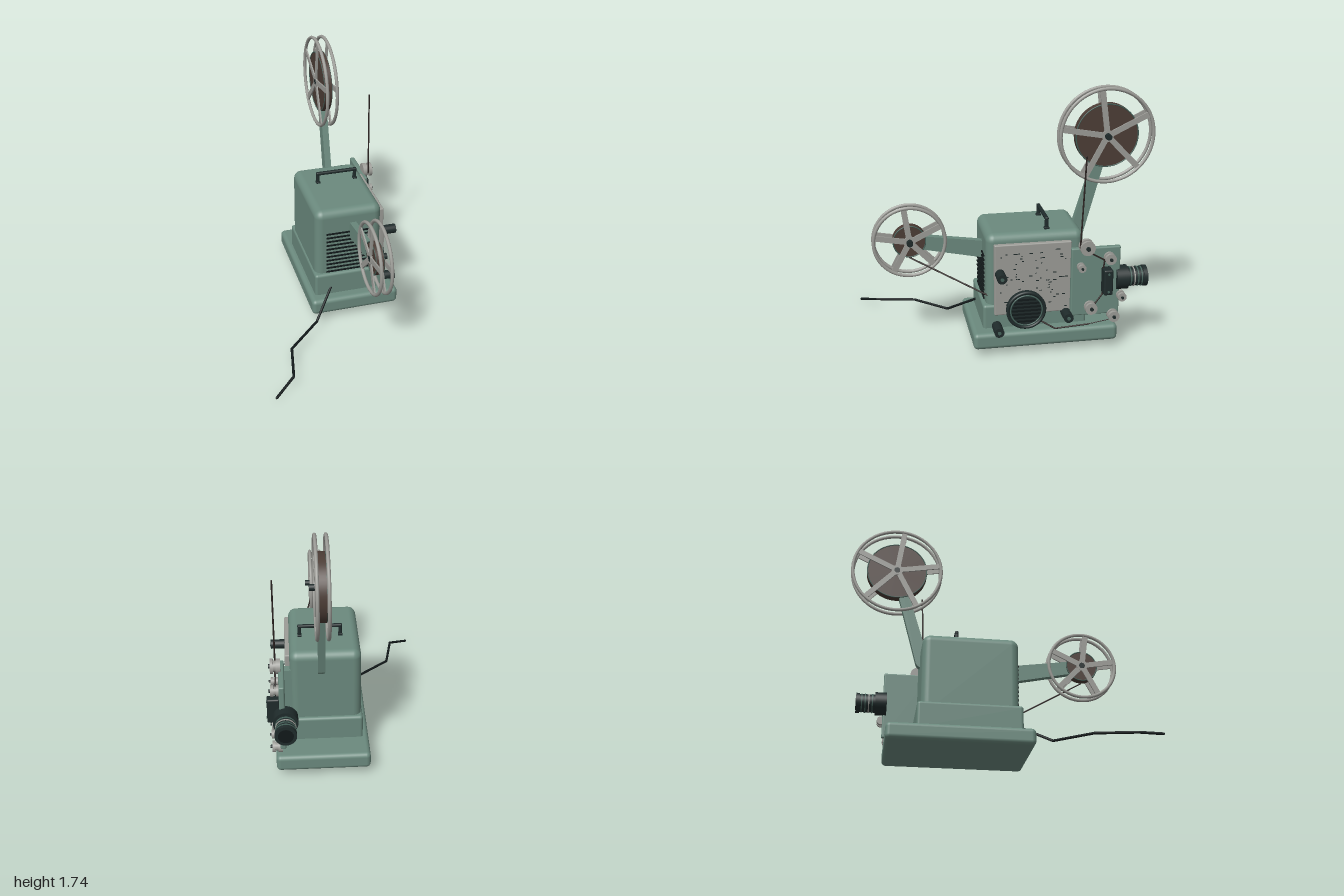
import * as THREE from 'three';
import { mergeGeometries } from 'three/addons/utils/BufferGeometryUtils.js';
import { RoundedBoxGeometry } from 'three/addons/geometries/RoundedBoxGeometry.js';

const mat = (name, color) => {
  const m = new THREE.MeshStandardMaterial({ color });
  m.name = name;
  return m;
};

export function createModel() {
  const root = new THREE.Group();
  const green = mat('enamelGreen', 0x6b8a7e);
  const grey = mat('metalGrey', 0x9c9c97);
  const dark = mat('darkPlastic', 0x1f2b2b);
  const black = mat('black', 0x12191a);
  const brown = mat('filmBrown', 0x4c3d36);
  const teal = mat('ringTeal', 0x46635b);
  const strandMat = mat('filmStrand', 0x2c2422);

  const add = (name, geo, material, parent = root) => {
    const m = new THREE.Mesh(geo, material);
    m.name = name;
    parent.add(m);
  };
  // Boxes given by their limits on each axis
  const box = (x0, x1, y0, y1, z0, z1) => new THREE.BoxGeometry(x1 - x0, y1 - y0, z1 - z0)
    .translate((x0 + x1) / 2, (y0 + y1) / 2, (z0 + z1) / 2);
  const rbox = (x0, x1, y0, y1, z0, z1, r) => new RoundedBoxGeometry(x1 - x0, y1 - y0, z1 - z0, 4, r)
    .translate((x0 + x1) / 2, (y0 + y1) / 2, (z0 + z1) / 2);
  // Disc with its axis along x
  const disc = (x0, x1, y, z, r, sides = 32) => new THREE.CylinderGeometry(r, r, x1 - x0, sides)
    .rotateZ(-Math.PI / 2).translate((x0 + x1) / 2, y, z);
  // Ring facing sideways
  const ring = (x, y, z, r, tube) => new THREE.TorusGeometry(r, tube, 8, 56)
    .rotateY(Math.PI / 2).translate(x, y, z);
  // Straight round segments through a list of points
  const wire = (pts, r) => {
    const parts = [];
    const v = pts.map(p => new THREE.Vector3(...p));
    for (let i = 0; i < v.length; i++) {
      parts.push(new THREE.SphereGeometry(r, 8, 6).translate(...pts[i]));
      if (i === 0) continue;
      const d = v[i].clone().sub(v[i - 1]);
      const g = new THREE.CylinderGeometry(r, r, d.length(), 8);
      g.applyQuaternion(new THREE.Quaternion().setFromUnitVectors(
        new THREE.Vector3(0, 1, 0), d.clone().normalize()));
      const c = v[i].clone().add(v[i - 1]).multiplyScalar(0.5);
      parts.push(g.translate(c.x, c.y, c.z));
    }
    return mergeGeometries(parts);
  };

  // Housing
  add('base', rbox(-0.13, 0.5, 0.05, 0.165, -0.705, 0.28, 0.03), green);
  add('plinth', rbox(-0.09, 0.405, 0.13, 0.33, -0.505, 0.203, 0.02), green);
  add('body', rbox(-0.08, 0.395, 0.22, 0.825, -0.48, 0.178, 0.055), green);

  // Front cooling slots
  const vents = [];
  for (let i = 0; i < 11; i++) {
    const y = 0.34 + i * 0.031;
    vents.push(box(-0.005, 0.305, y - 0.005, y + 0.005, 0.17, 0.186));
  }
  add('frontVents', mergeGeometries(vents), black);

  // Carrying handle
  add('handle', mergeGeometries([
    rbox(0.035, 0.335, 0.885, 0.908, -0.252, -0.226, 0.009),
    rbox(0.037, 0.06, 0.81, 0.9, -0.251, -0.227, 0.008),
    rbox(0.31, 0.333, 0.81, 0.9, -0.251, -0.227, 0.008),
    rbox(0.034, 0.063, 0.815, 0.838, -0.256, -0.222, 0.004),
    rbox(0.307, 0.336, 0.815, 0.838, -0.256, -0.222, 0.004),
  ]), dark);

  // Side cover with small perforations
  add('sidePanel', rbox(0.385, 0.425, 0.262, 0.763, -0.39, 0.13, 0.008), grey);
  let seed = 11;
  const rand = () => (seed = (seed * 16807) % 2147483647) / 2147483647;
  const specks = [];
  for (let i = 0; i < 70; i++) {
    const side = rand();
    const z = side < 0.6 ? -0.36 + rand() * 0.22 : -0.12 + rand() * 0.21;
    const y = 0.3 + Math.floor(rand() * 24) * 0.018;
    const w = 0.007 + rand() * 0.018;
    specks.push(box(0.42, 0.4265, y - 0.003, y + 0.003, z - w / 2, z + w / 2));
  }
  add('perforations', mergeGeometries(specks), dark);

  // Round slatted cover
  const fan = { y: 0.302, z: -0.08 };
  add('roundCover', disc(0.4, 0.46, fan.y, fan.z, 0.132, 48), dark);
  add('roundCoverRim', ring(0.458, fan.y, fan.z, 0.125, 0.011), dark);
  add('roundCoverTrim', ring(0.462, fan.y, fan.z, 0.107, 0.005), teal);
  const slats = [];
  for (let i = -3; i <= 3; i++) {
    const y = fan.y + i * 0.026;
    const h = Math.sqrt(0.1 ** 2 - (i * 0.026) ** 2);
    slats.push(box(0.455, 0.466, y - 0.006, y + 0.006, fan.z - h, fan.z + h));
  }
  add('roundCoverSlats', mergeGeometries(slats), black);

  // Control knobs
  for (const [y, z] of [[0.563, 0.094], [0.18, 0.113], [0.25, -0.357]]) {
    add('knob', disc(0.4, 0.525, y, z, 0.033, 20), dark);
    add('knobCap', disc(0.525, 0.53, y, z, 0.012, 16), teal);
  }

  // Film transport plate and its mount
  add('transportPlate', rbox(0.432, 0.469, 0.24, 0.725, -0.715, -0.38, 0.01), green);
  add('plateMount', box(0.38, 0.435, 0.3, 0.69, -0.46, -0.4), green);

  // Film gate
  add('filmGate', rbox(0.465, 0.55, 0.408, 0.588, -0.648, -0.585, 0.012), dark);
  for (const y of [0.435, 0.56]) add('gateScrew', disc(0.545, 0.554, y, -0.617, 0.008, 12), teal);

  // Guide rollers
  const rollers = [
    [0.74, -0.477, 0.05], [0.653, -0.635, 0.038], [0.6, -0.442, 0.027],
    [0.305, -0.512, 0.041], [0.375, -0.722, 0.03], [0.236, -0.67, 0.038],
  ];
  for (const [y, z, r] of rollers) {
    add('rollerInner', disc(0.455, 0.485, y, z, r, 24), grey);
    add('rollerWaist', disc(0.48, 0.505, y, z, r * 0.72, 24), grey);
    add('rollerOuter', disc(0.502, 0.523, y, z, r, 24), grey);
    add('rollerPin', disc(0.52, 0.535, y, z, r * 0.3, 14), dark);
  }

  // Lens pointing backward
  const lens = new THREE.Group();
  lens.name = 'lens';
  lens.position.set(0.43, 0.487, 0);
  root.add(lens);
  const zDisc = (z0, z1, r) => new THREE.CylinderGeometry(r, r, z1 - z0, 40)
    .rotateX(Math.PI / 2).translate(0, 0, (z0 + z1) / 2);
  add('lensCollar', zDisc(-0.77, -0.69, 0.082), dark, lens);
  add('lensBarrel', zDisc(-0.885, -0.76, 0.064), dark, lens);
  add('lensFront', zDisc(-0.905, -0.878, 0.071), dark, lens);
  add('lensGlass', zDisc(-0.907, -0.9, 0.05), black, lens);
  for (const z of [-0.79, -0.815, -0.84, -0.865]) {
    add('lensRing', zDisc(z - 0.004, z + 0.004, 0.068), z === -0.815 ? grey : teal, lens);
  }

  // Tapered reel arms, drawn as [-z, y] from reel centre to foot
  const arm = (name, a, b, wa, wb) => {
    const t = Math.atan2(b[1] - a[1], b[0] - a[0]);
    const s = new THREE.Shape();
    s.absarc(b[0], b[1], wb, t - Math.PI / 2, t + Math.PI / 2, false);
    s.absarc(a[0], a[1], wa, t + Math.PI / 2, t + Math.PI * 1.5, false);
    s.closePath();
    const g = new THREE.ExtrudeGeometry(s, { depth: 0.046, bevelEnabled: false, curveSegments: 10 });
    add(name, g.rotateY(Math.PI / 2).translate(0.162, 0, 0), green);
  };
  arm('rearArm', [0.667, 1.415], [0.465, 0.715], 0.034, 0.046);
  arm('frontArm', [-0.667, 0.747], [-0.14, 0.655], 0.044, 0.06);

  // Spoked reels with wound film
  const reel = (name, y, z, R, filmR) => {
    const g = new THREE.Group();
    g.name = name;
    g.position.set(0.185, y, z);
    root.add(g);
    add('woundFilm', disc(-0.026, 0.026, 0, 0, filmR, 56), brown, g);
    for (const x of [-0.035, 0.035]) {
      const parts = [ring(x, 0, 0, R - 0.012, 0.012), disc(x - 0.006, x + 0.006, 0, 0, 0.04)];
      for (let i = 0; i < 5; i++) {
        const spoke = new THREE.BoxGeometry(0.01, R - 0.015, 0.038).translate(x, (R - 0.015) / 2, 0);
        parts.push(spoke.rotateX(THREE.MathUtils.degToRad(8 + i * 72)));
      }
      add('flange', mergeGeometries(parts), grey, g);
      add('filmEdge', ring(Math.sign(x) * 0.026, 0, 0, filmR - 0.004, 0.004), teal, g);
    }
    add('spindle', disc(-0.042, 0.076, 0, 0, 0.021, 20), dark, g);
  };
  reel('rearReel', 1.415, -0.667, 0.33, 0.217);
  reel('frontReel', 0.747, 0.667, 0.25, 0.112);

  // Film path
  add('feedFilm', wire([[0.49, 1.36, -0.458], [0.49, 0.74, -0.432], [0.49, 0.7, -0.5],
    [0.49, 0.64, -0.6], [0.49, 0.585, -0.592], [0.49, 0.4, -0.592],
    [0.49, 0.335, -0.545], [0.49, 0.3, -0.5]], 0.0055), strandMat);
  add('takeUpFilm', wire([[0.215, 0.635, 0.667], [0.365, 0.388, 0.165], [0.44, 0.25, -0.12],
    [0.49, 0.168, -0.27], [0.49, 0.182, -0.5]], 0.0055), strandMat);
  add('lowerFilm', wire([[0.49, 0.182, -0.5], [0.49, 0.21, -0.67]], 0.003), strandMat);

  // Power cord
  add('powerCord', wire([[0.03, 0.22, 0.19], [-0.13, 0.08, 0.385], [-0.365, 0.063, 0.605],
    [-0.42, 0.063, 0.88], [-0.56, 0.01, 0.99]], 0.009), black);

  return root;
}
